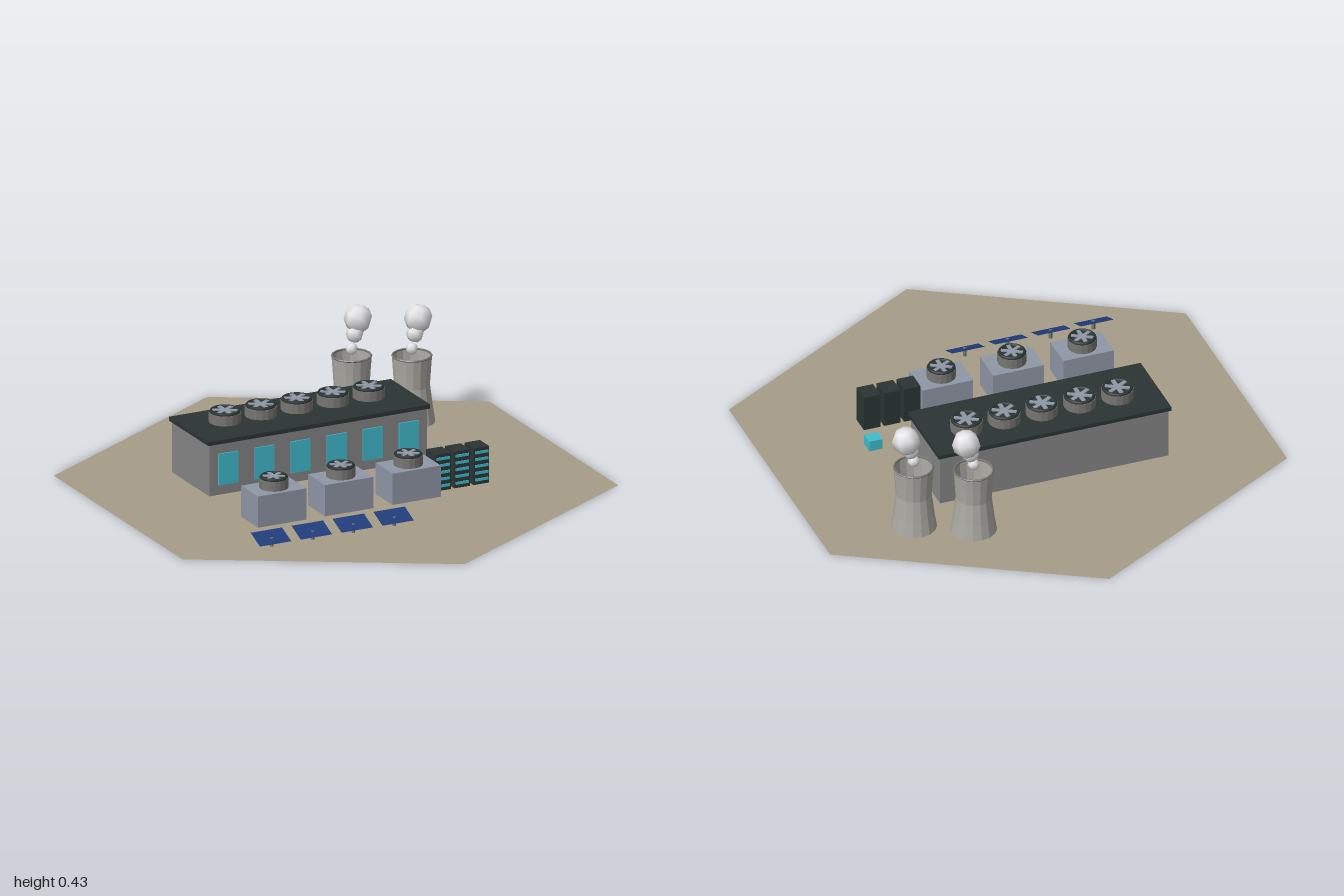
import * as THREE from 'three';

const paint = (name, color, extra = {}) => {
  const m = new THREE.MeshStandardMaterial({ color, ...extra });
  m.name = name;
  return m;
};

export function createModel() {
  const mat = {
    ground: paint('sand', 0xa69d89, { side: THREE.DoubleSide }),
    wall: paint('wall grey', 0x858585),
    dark: paint('charcoal', 0x2b3534),
    cyan: paint('cyan', 0x40bccd),
    metal: paint('cool metal', 0x8f96a6),
    housing: paint('housing grey', 0x777672, { flatShading: true }),
    solar: paint('solar blue', 0x213d7c, { side: THREE.DoubleSide }),
    concrete: paint('concrete', 0xaaa8a2, { flatShading: true, side: THREE.DoubleSide }),
    steam: paint('steam white', 0xe2e2e4),
  };
  const model = new THREE.Group();
  model.name = 'dataCentre';

  const add = (parent, name, geometry, material, x = 0, y = 0, z = 0) => {
    const mesh = new THREE.Mesh(geometry, material);
    mesh.name = name;
    mesh.position.set(x, y, z);
    parent.add(mesh);
    return mesh;
  };
  const group = (name, x, y, z) => {
    const g = new THREE.Group();
    g.name = name;
    g.position.set(x, y, z);
    model.add(g);
    return g;
  };
  const box = (w, h, d) => new THREE.BoxGeometry(w, h, d);

  // Hexagonal ground sheet, points towards front and back
  const ground = add(model, 'ground', new THREE.CircleGeometry(1, 6, Math.PI / 2), mat.ground);
  ground.rotation.x = -Math.PI / 2;

  // Round fan: grey drum, dark rim and six pale blades; origin at its foot
  const fan = (x, y, z, r) => {
    const g = group('fan', x, y, z);
    add(g, 'fanDrum', new THREE.CylinderGeometry(r, r, 0.036, 16), mat.housing, 0, 0.018, 0);
    add(g, 'fanWell', new THREE.CylinderGeometry(r * 0.86, r * 0.9, 0.004, 16), mat.dark, 0, 0.037, 0);
    const rim = add(g, 'fanRim', new THREE.TorusGeometry(r * 0.85, 0.007, 6, 20), mat.dark, 0, 0.038, 0);
    rim.rotation.x = Math.PI / 2;
    for (let i = 0; i < 3; i++) {
      const blade = add(g, 'fanBlades', box(r * 1.6, 0.004, r * 0.26), mat.metal, 0, 0.0415, 0);
      blade.rotation.y = Math.PI / 2 + (i * Math.PI) / 3;
    }
  };

  // Main hall with roof slab, six windows and five roof fans
  const hallX = -0.047, hallZ = -0.191;
  add(model, 'hall', box(0.866, 0.192, 0.29), mat.wall, hallX, 0.099, hallZ);
  add(model, 'hallRoof', box(0.882, 0.015, 0.306), mat.dark, hallX, 0.2025, hallZ);
  for (let i = 0; i < 6; i++)
    add(model, 'hallWindow', box(0.078, 0.118, 0.006), mat.cyan, hallX + (i - 2.5) * 0.1435, 0.098, -0.044);
  for (let i = 0; i < 5; i++) fan(hallX + (i - 2) * 0.143, 0.21, -0.212, 0.058);

  // Three chiller units
  for (const x of [-0.382, -0.116, 0.152]) {
    add(model, 'chiller', box(0.192, 0.117, 0.132), mat.metal, x, 0.0615, 0.264);
    fan(x, 0.12, 0.264, 0.052);
  }

  // Server racks with lit front strips
  for (const x of [0.286, 0.362, 0.438]) {
    add(model, 'serverRack', box(0.062, 0.137, 0.072), mat.dark, x, 0.0715, 0.237);
    for (let i = 0; i < 5; i++)
      add(model, 'rackLight', box(0.052, 0.01, 0.004), mat.cyan, x, 0.021 + i * 0.0255, 0.274);
  }

  // Small utility crate
  add(model, 'crate', box(0.05, 0.04, 0.05), mat.cyan, 0.475, 0.023, 0.092);

  // Tilted solar panels on short posts
  for (let i = 0; i < 4; i++) {
    const g = group('solarPanel', -0.524 + i * 0.1625, 0, 0.519);
    const sheet = add(g, 'solarSheet', new THREE.PlaneGeometry(0.125, 0.077), mat.solar, 0, 0.035, 0);
    sheet.rotation.x = -Math.PI / 2 + 0.4;
    add(g, 'solarPost', new THREE.CylinderGeometry(0.007, 0.007, 0.032, 6), mat.housing, 0, 0.018, 0.004);
  }

  // Open cooling towers with rising steam
  const profile = [[0.083, 0.003], [0.074, 0.06], [0.064, 0.14], [0.068, 0.2], [0.072, 0.252]]
    .map(([r, y]) => new THREE.Vector2(r, y));
  const puffs = [[0, 0.275, 0, 0.022], [0.015, 0.327, -0.005, 0.032], [0.034, 0.378, -0.016, 0.052]];
  for (const [x, z] of [[0.333, -0.529], [0.524, -0.434]]) {
    const g = group('coolingTower', x, 0, z);
    add(g, 'towerShell', new THREE.LatheGeometry(profile, 16), mat.concrete);
    const rim = add(g, 'towerRim', new THREE.TorusGeometry(0.07, 0.004, 5, 16), mat.housing, 0, 0.25, 0);
    rim.rotation.x = Math.PI / 2;
    for (const [px, py, pz, r] of puffs) {
      const puff = add(g, 'steamPuff', new THREE.SphereGeometry(r, 7, 5), mat.steam, px, py, pz);
      puff.rotation.set(0.2, 0.3, -0.25);
    }
  }
  return model;
}
